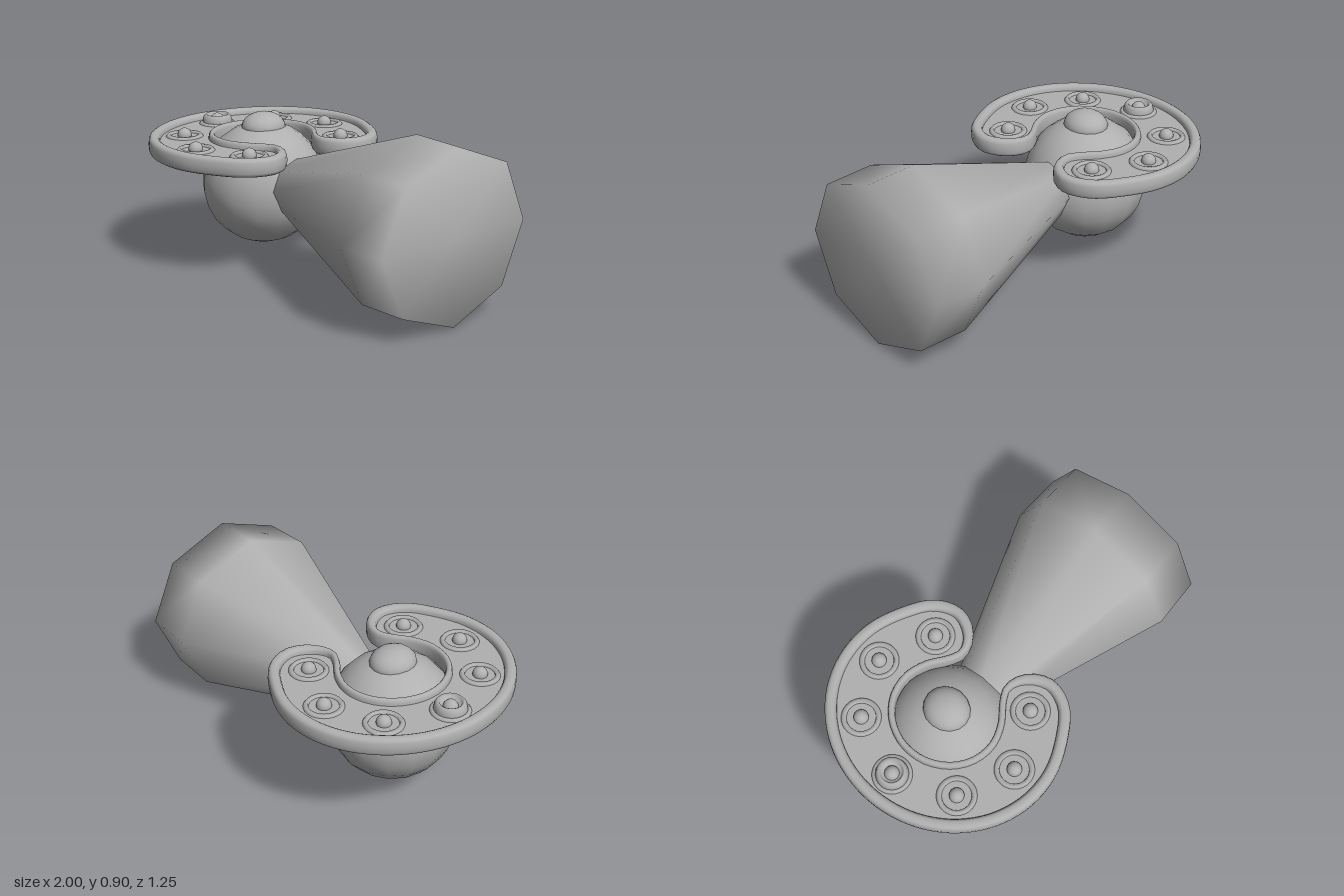
import * as THREE from 'three';

const grey = new THREE.MeshStandardMaterial({ color: 0xb0b0b0 });
grey.name = 'plain grey';
const CX = -0.425; // shared centre of the ball and the collar

function part(parent, name, geometry, x = 0, y = 0, z = 0) {
  const mesh = new THREE.Mesh(geometry, grey);
  mesh.name = name;
  mesh.position.set(x, y, z);
  parent.add(mesh);
  return mesh;
}

const lathe = (pts, sides) =>
  new THREE.LatheGeometry(pts.map(([r, y]) => new THREE.Vector2(r, y)), sides);

// Closed C-shaped centre line of the rim, one half mirrored across z = 0
function collarCurve() {
  const half = [];
  for (let a = 160; a >= 60; a -= 20) {
    const t = THREE.MathUtils.degToRad(a);
    half.push([CX + 0.545 * Math.cos(t), 0.593 * Math.sin(t)]);
  }
  half.push([-0.03, 0.425], [0.018, 0.31], [-0.008, 0.225], [-0.065, 0.168],
    [-0.135, 0.147], [-0.2, 0.175]);
  for (let a = 60; a <= 160; a += 25) {
    const t = THREE.MathUtils.degToRad(a);
    half.push([CX + 0.262 * Math.cos(t), 0.28 * Math.sin(t)]);
  }
  const mirrored = half.map(([x, z]) => [x, -z]).reverse();
  const loop = [[CX - 0.545, 0], ...half, [CX - 0.262, 0], ...mirrored];
  return new THREE.CatmullRomCurve3(
    loop.map(([x, z]) => new THREE.Vector3(x, 0, z)), true, 'centripetal');
}

// Rounded rim swept along the curve, wider on the outside of the collar
function rimGeometry(curve, steps = 120, sides = 14) {
  const pos = [], index = [];
  const up = new THREE.Vector3(0, 1, 0);
  const soft = (v) => Math.sign(v) * Math.pow(Math.abs(v), 0.7);
  for (let i = 0; i < steps; i++) {
    const p = curve.getPointAt(i / steps);
    const n = curve.getTangentAt(i / steps).cross(up).normalize();
    const w = 0.018 + 0.013 * THREE.MathUtils.smoothstep(Math.hypot(p.x - CX, p.z), 0.28, 0.5);
    for (let j = 0; j < sides; j++) {
      const a = (j / sides) * Math.PI * 2;
      const c = soft(Math.cos(a)) * w;
      pos.push(p.x + n.x * c, soft(Math.sin(a)) * 0.048, p.z + n.z * c);
      const k = (j + 1) % sides, m = (i + 1) % steps;
      const A = i * sides + j, B = m * sides + j, C = m * sides + k, D = i * sides + k;
      index.push(A, B, D, B, C, D);
    }
  }
  const g = new THREE.BufferGeometry();
  g.setAttribute('position', new THREE.Float32BufferAttribute(pos, 3));
  g.setIndex(index);
  g.computeVertexNormals();
  return g;
}

export function createModel() {
  const model = new THREE.Group();
  model.name = 'model';

  // Ball body with a small crown
  part(model, 'ballBody', new THREE.SphereGeometry(0.33, 16, 13), CX, 0.425, 0);
  const crown = part(model, 'crownKnob', new THREE.SphereGeometry(1, 16, 12), -0.42, 0.73, 0);
  crown.scale.set(0.112, 0.08, 0.122);

  // Eight-sided horn flaring out to the side
  const horn = lathe([[0, -0.16], [0.145, -0.16], [0.45, 0.73], [0.442, 1], [0, 1]], 8);
  horn.rotateZ(-Math.PI / 2);
  part(model, 'flaredHorn', horn, 0, 0.455, 0).scale.z = 1.07;

  // Collar: thin recessed plate inside a raised rim
  const collar = new THREE.Group();
  collar.name = 'collar';
  collar.position.y = 0.658;
  model.add(collar);
  const curve = collarCurve();
  part(collar, 'collarRim', rimGeometry(curve));
  const outline = curve.getSpacedPoints(100).slice(0, -1).map((p) => new THREE.Vector2(p.x, p.z));
  const plate = new THREE.ExtrudeGeometry(new THREE.Shape(outline), { depth: 0.03, bevelEnabled: false });
  plate.rotateX(Math.PI / 2);
  part(collar, 'collarPlate', plate, 0, 0.015, 0);

  // Studs: a ball within a flat washer
  const washer = lathe([[0.072, -0.018], [0.092, -0.024], [0.101, -0.012], [0.101, 0.014],
    [0.092, 0.026], [0.076, 0.026], [0.072, 0.012]], 28);
  const ball = new THREE.SphereGeometry(0.038, 16, 12);
  for (const [x, z] of [[-0.15, 0.31], [-0.43, 0.44], [-0.71, 0.31]]) {
    for (const s of [-1, 1]) {
      part(collar, 'studWasher', washer, x, 0, s * z);
      part(collar, 'studBall', ball, x, 0.021, s * z);
    }
  }

  // Deeper stud opposite the horn, poking through the plate
  part(collar, 'mainWasher', washer, -0.83, 0, 0);
  part(collar, 'mainStud', lathe([[0, -0.083], [0.045, -0.079], [0.072, -0.06], [0.082, -0.03],
    [0.082, 0.03], [0.076, 0.055], [0.064, 0.068], [0.054, 0.062], [0.046, 0.04], [0, 0.035]], 28),
  -0.83, 0, 0);
  part(collar, 'mainBall', ball, -0.83, 0.034, 0);

  return model;
}
